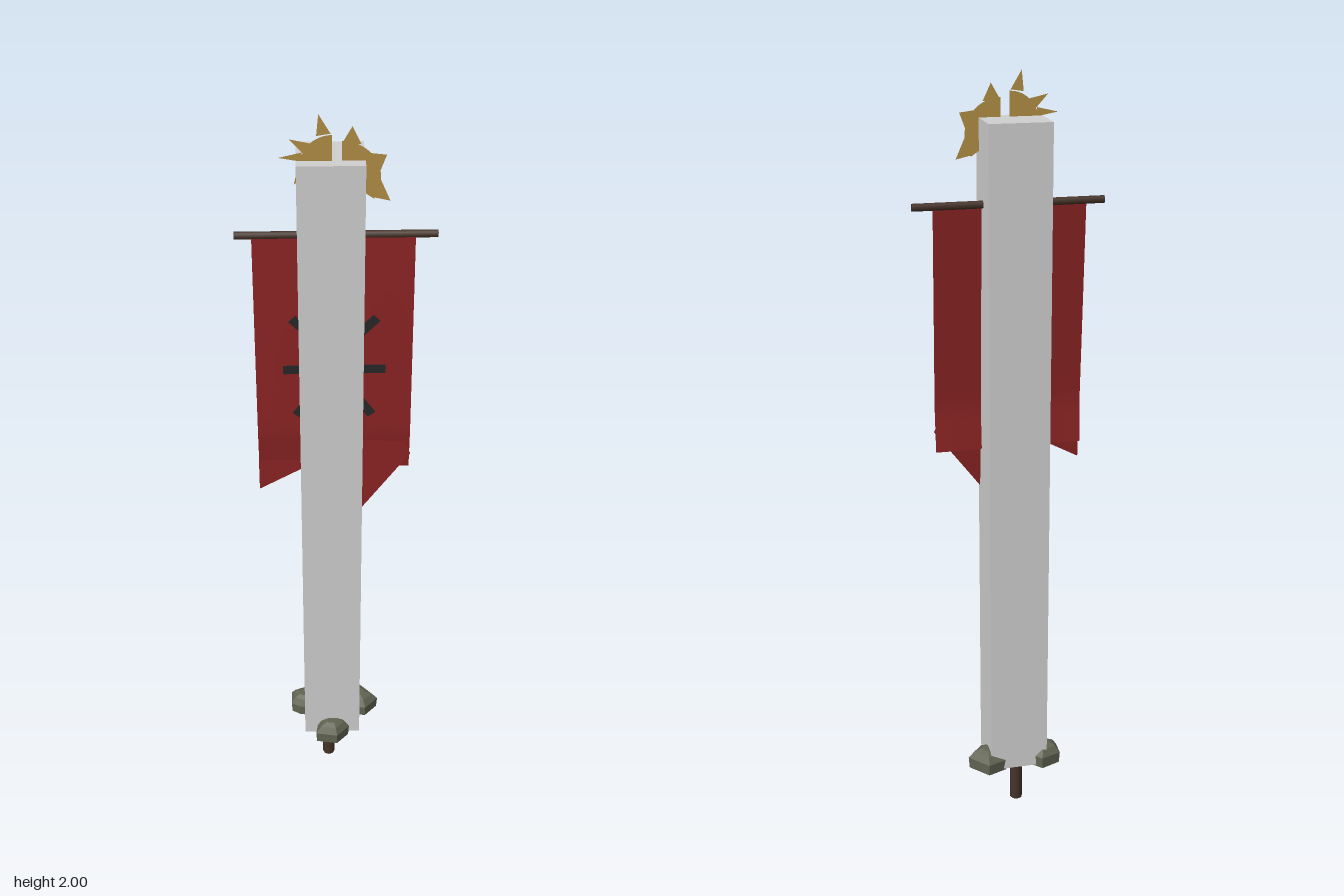
import * as THREE from 'three';
import { ConvexGeometry } from 'three/addons/geometries/ConvexGeometry.js';

const mat = (name, color, extra = {}) => {
  const m = new THREE.MeshStandardMaterial({ color, ...extra });
  m.name = name;
  return m;
};

export function createModel() {
  const two = { side: THREE.DoubleSide };
  const grey = mat('pale grey', 0xd0d0d0);
  const wood = mat('dark wood', 0x46342a);
  const red = mat('red cloth', 0x8a2323, two);
  const black = mat('black trim', 0x272727, two);
  const gold = mat('gold', 0xb08d45, two);
  const stone = mat('mossy stone', 0x626553, { flatShading: true });

  const group = new THREE.Group();
  const add = (name, geometry, material, x = 0, y = 0, z = 0) => {
    const mesh = new THREE.Mesh(geometry, material);
    mesh.name = name;
    mesh.position.set(x, y, z);
    group.add(mesh);
    return mesh;
  };
  const polygon = (pts) => new THREE.Shape(pts.map(([x, y]) => new THREE.Vector2(x, y)));

  // Square column that encloses the pole
  add('column', new THREE.BoxGeometry(0.156, 1.747, 0.14), grey, -0.013, 1.0185, -0.015);

  // Pole and crossbar
  add('pole', new THREE.CylinderGeometry(0.017, 0.017, 1.75, 8), wood, -0.022, 0.875, -0.01);
  add('crossbar', new THREE.CylinderGeometry(0.0095, 0.0095, 0.476, 8), wood, 0, 1.693, -0.016)
    .rotation.z = Math.PI / 2;

  // Cloth leans forward towards the bottom, with a fold near the hem
  const clothZ = (y) => (1.63 - y) * 0.052;
  const cloth = new THREE.PlaneGeometry(0.382, 0.635, 12, 24);
  cloth.translate(-0.006, 1.3725, 0);
  const p = cloth.attributes.position;
  for (let i = 0; i < p.count; i++) {
    const x = p.getX(i), y = p.getY(i);
    const fold = y < 1.17 ? -0.14 * (1.17 - y) : 0;
    p.setZ(i, clothZ(y) + fold + 0.002 * Math.sin(x * 30) * (1.69 - y));
  }
  cloth.computeVertexNormals();
  add('bannerCloth', cloth, red);

  // Torn corners hang in front of the hem
  const flap = (name, pts) => {
    const g = new THREE.ShapeGeometry(polygon(pts));
    const a = g.attributes.position;
    for (let i = 0; i < a.count; i++) {
      const y = a.getY(i);
      a.setZ(i, clothZ(y) + 0.003);
    }
    g.computeVertexNormals();
    add(name, g, red);
  };
  flap('rightTornCorner', [[-0.197, 1.005], [-0.04, 1.09], [-0.197, 1.09]]);
  flap('leftTornCorner', [[0.04, 0.91], [0.187, 1.105], [0.17, 1.14], [0.04, 1.147]]);

  // Emblem of short rays lying on the cloth: [inner point, outer point]
  const rays = [
    [[0.04, 1.35], [0.12, 1.35]], [[-0.05, 1.35], [-0.13, 1.35]],
    [[0.04, 1.43], [0.097, 1.488]], [[-0.05, 1.43], [-0.107, 1.488]],
    [[0.045, 1.28], [0.087, 1.222]], [[-0.055, 1.28], [-0.1, 1.222]],
  ];
  for (const [[x0, y0], [x1, y1]] of rays) {
    const y = (y0 + y1) / 2;
    add('emblemRay', new THREE.BoxGeometry(Math.hypot(x1 - x0, y1 - y0), 0.023, 0.002), black,
      (x0 + x1) / 2, y, clothZ(y) + 0.006).rotation.z = Math.atan2(y1 - y0, x1 - x0);
  }

  // Flat sun finial: two halves of a split disc, each with pointed rays
  const sector = (name, r, cx, cy, from, to) =>
    add(name, new THREE.CircleGeometry(r, 16, from, to - from), gold, cx, cy, 0.025);
  sector('rightSunHalf', 0.072, -0.01, 1.88, Math.PI / 2, Math.PI * 1.05);
  sector('leftSunHalf', 0.088, 0.012, 1.85, -0.6, Math.PI / 2);
  const spikes = [
    [[-0.13, 1.9], [-0.075, 1.89], [-0.078, 1.912]],
    [[-0.105, 1.943], [-0.075, 1.91], [-0.055, 1.932]],
    [[-0.04, 2.0], [-0.045, 1.95], [-0.013, 1.955]],
    [[0.035, 1.972], [0.012, 1.932], [0.055, 1.93]],
    [[0.112, 1.905], [0.07, 1.91], [0.097, 1.865]],
    [[0.122, 1.795], [0.078, 1.805], [0.1, 1.845]],
    [[-0.096, 1.835], [-0.07, 1.86], [-0.09, 1.862]],
  ];
  for (const s of spikes) add('sunRay', new THREE.ShapeGeometry(polygon(s)), gold, 0, 0, 0.025);

  // Base stones: outline in x and z, narrowing to a rounded top
  const stones = [
    [[-0.13, -0.08], [-0.075, -0.102], [-0.045, -0.07], [-0.065, -0.015], [-0.105, -0.02], [-0.13, -0.035]],
    [[0.075, -0.104], [0.122, -0.05], [0.085, -0.01], [0.035, -0.02], [0.02, -0.083]],
    [[-0.06, 0.09], [0, 0.101], [0.035, 0.063], [0.015, 0.02], [-0.05, 0.025]],
  ];
  for (const outline of stones) {
    const cx = outline.reduce((s, q) => s + q[0], 0) / outline.length;
    const cz = outline.reduce((s, q) => s + q[1], 0) / outline.length;
    const pts = [];
    for (const [y, k] of [[0.14, 0.95], [0.172, 1], [0.19, 0.7], [0.197, 0.35]])
      for (const [x, z] of outline)
        pts.push(new THREE.Vector3(cx + (x - cx) * k, y, cz + (z - cz) * k));
    add('baseStone', new ConvexGeometry(pts), stone);
  }

  return group;
}
